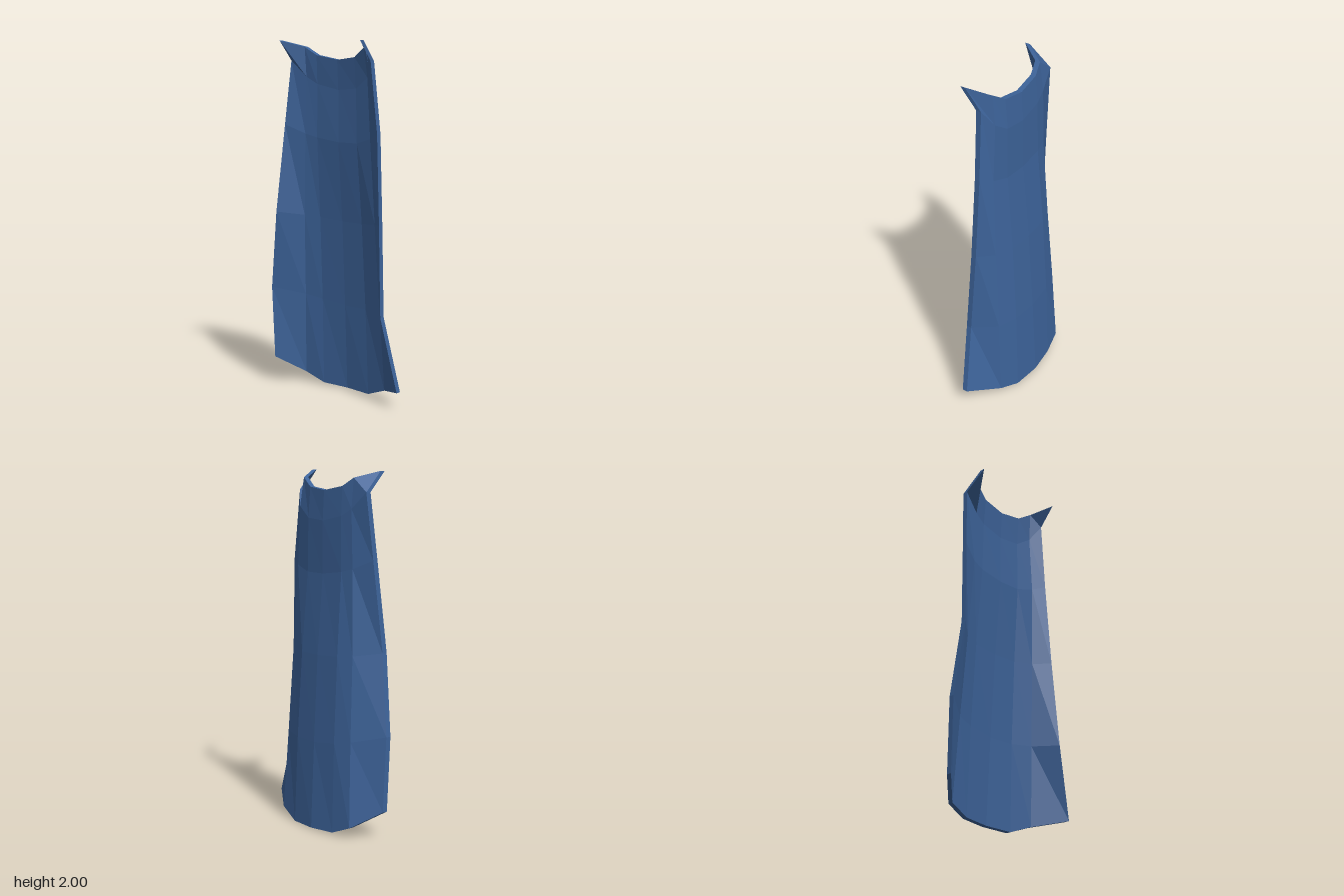
import * as THREE from 'three';

const THICKNESS = 0.03;

// Front-face cross-sections from collar to hem; each point is [x, y, z]
const rows = [
  [[-0.31, 2, 0.14], [-0.23, 1.965, 0.02], [-0.16, 1.92, 0], [-0.02, 1.895, -0.01], [0.11, 1.91, 0], [0.19, 1.96, 0.02], [0.26, 2, 0.14]],
  [[-0.33, 1.89, 0.02], [-0.235, 1.8, 0], [-0.165, 1.76, -0.012], [-0.02, 1.73, -0.02], [0.11, 1.74, -0.014], [0.2, 1.8, 0], [0.257, 1.89, 0.045]],
  [[-0.355, 1.53, 0.05], [-0.245, 1.48, 0], [-0.17, 1.46, -0.015], [-0.02, 1.44, -0.02], [0.115, 1.44, -0.016], [0.22, 1.47, 0], [0.295, 1.5, 0.035]],
  [[-0.39, 1.03, 0.09], [-0.27, 1.01, -0.02], [-0.178, 1, -0.05], [-0.023, 0.99, -0.06], [0.122, 0.99, -0.053], [0.237, 1, -0.022], [0.322, 1.01, 0.05]],
  [[-0.447, 0.58, 0.07], [-0.29, 0.54, -0.05], [-0.185, 0.52, -0.078], [-0.027, 0.5, -0.09], [0.128, 0.5, -0.082], [0.252, 0.51, -0.05], [0.352, 0.51, 0.073]],
  [[-0.44, 0.16, 0.055], [-0.31, 0.065, -0.075], [-0.19, 0.015, -0.095], [-0.03, 0.008, -0.115], [0.135, 0.004, -0.1], [0.27, 0.055, -0.075], [0.445, 0.1, 0.045]],
];

const back = ([x, y, z]) => [x, y, z - THICKNESS];

// Flat-shaded mesh from counter-clockwise quads
function quadMesh(name, quads, material) {
  const positions = quads.flatMap(([a, b, c, d]) => [a, b, c, a, c, d]).flat();
  const geometry = new THREE.BufferGeometry();
  geometry.setAttribute('position', new THREE.Float32BufferAttribute(positions, 3));
  geometry.computeVertexNormals();
  const mesh = new THREE.Mesh(geometry, material);
  mesh.name = name;
  return mesh;
}

export function createModel() {
  const group = new THREE.Group();
  group.name = 'cape';
  const blueCloth = new THREE.MeshStandardMaterial({ color: 0x3c6298 });
  blueCloth.name = 'blue cloth';

  // Inner and outer faces of the cloth
  const lining = [];
  const outer = [];
  for (let r = 0; r < rows.length - 1; r++) {
    for (let c = 0; c < rows[r].length - 1; c++) {
      const quad = [rows[r][c], rows[r + 1][c], rows[r + 1][c + 1], rows[r][c + 1]];
      lining.push(quad);
      outer.push(quad.map(back).reverse());
    }
  }

  // Rim closing the thickness, followed counter-clockwise from the front
  const last = rows[0].length - 1;
  const rim = [
    ...rows.map((row) => row[0]),
    ...rows[rows.length - 1].slice(1),
    ...rows.slice(0, -1).reverse().map((row) => row[last]),
    ...rows[0].slice(1, last).reverse(),
  ];
  const edge = rim.map((p, i) => {
    const q = rim[(i + 1) % rim.length];
    return [p, back(p), back(q), q];
  });

  group.add(
    quadMesh('capeLining', lining, blueCloth),
    quadMesh('capeOuter', outer, blueCloth),
    quadMesh('capeEdge', edge, blueCloth),
  );
  return group;
}
